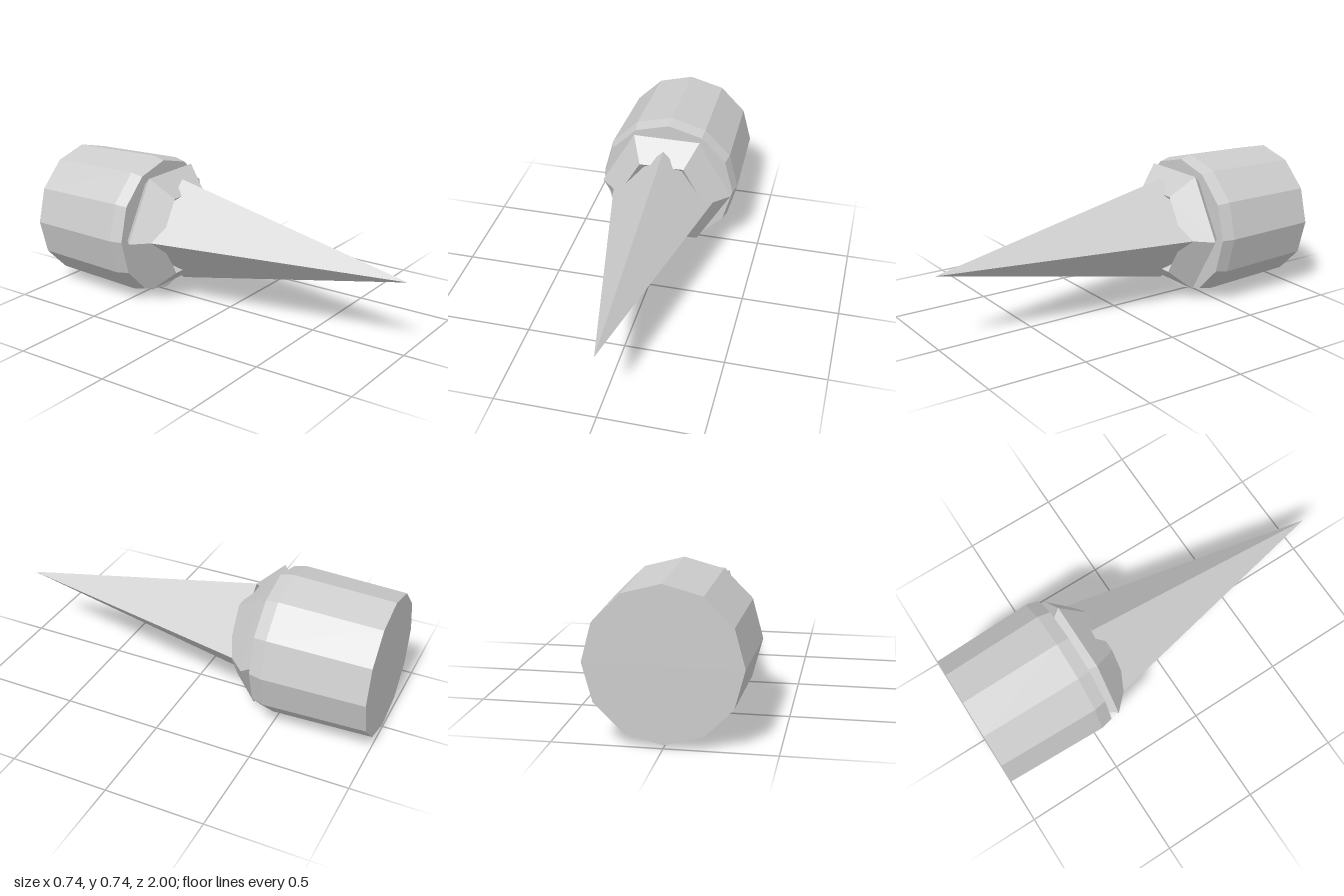
import * as THREE from 'three';

export function createModel() {
  const group = new THREE.Group();
  const grey = new THREE.MeshStandardMaterial({ color: 0xcccccc, flatShading: true });
  grey.name = 'light grey';
  const axisHeight = 0.371;

  const add = (name, geometry, z = 0) => {
    const mesh = new THREE.Mesh(geometry, grey);
    mesh.name = name;
    mesh.position.set(0, axisHeight, z);
    group.add(mesh);
  };

  // Twelve-sided base drum, slightly tapered to the back, bevelled at the front
  const profile = [[0, -1], [0.354, -1], [0.37, -0.49], [0.355, -0.425], [0, -0.425]]
    .map(([r, y]) => new THREE.Vector2(r, y));
  add('drum', new THREE.LatheGeometry(profile, 12).rotateX(Math.PI / 2));

  // Hexagonal ring with a diamond cross-section, half sunk in the drum
  add('collar', new THREE.TorusGeometry(0.234, 0.117, 4, 6), -0.38);

  // Four-sided spike
  const length = 1.303;
  add('spike', new THREE.ConeGeometry(0.272, length, 4).rotateX(Math.PI / 2), 1 - length / 2);

  return group;
}
